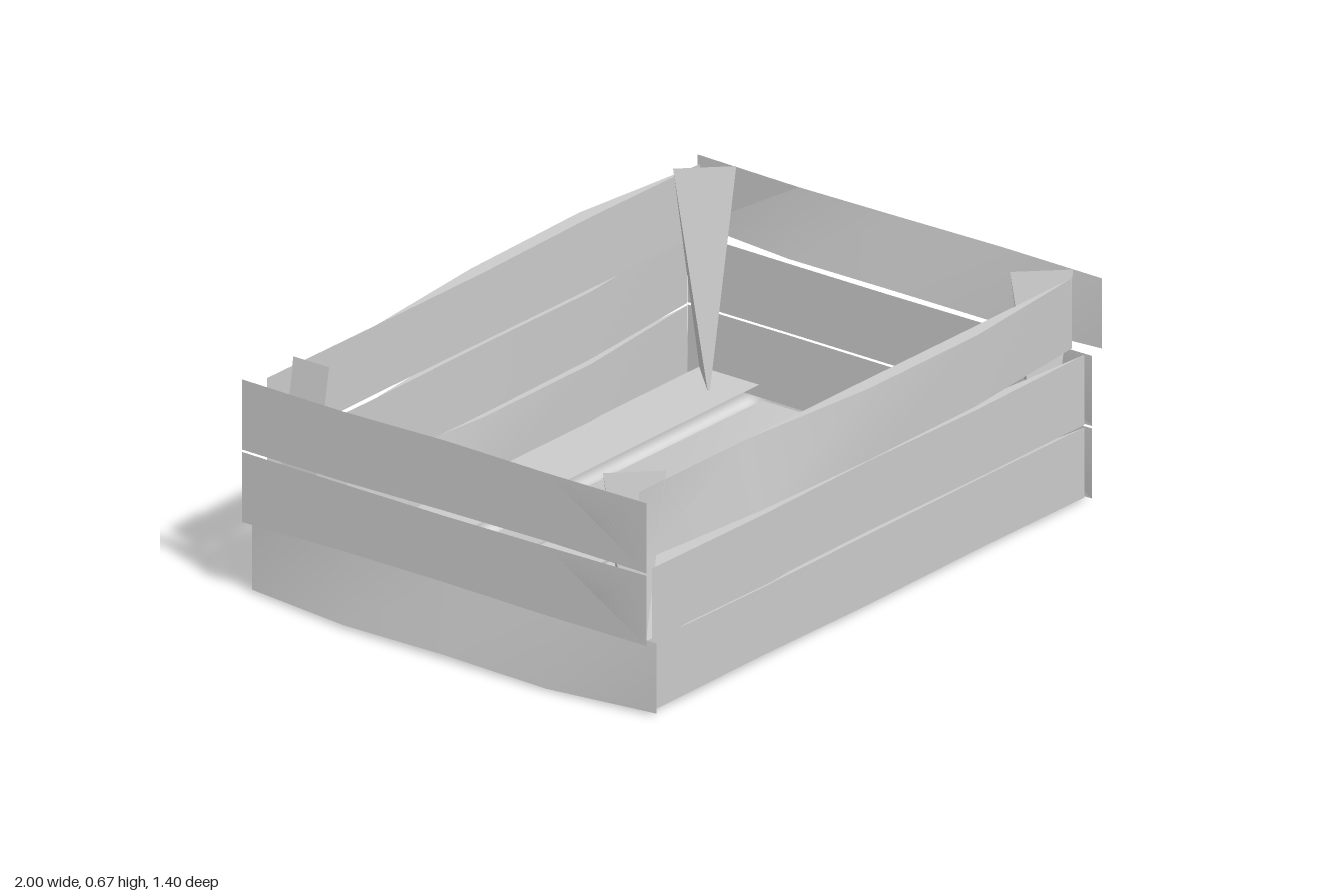
import * as THREE from 'three';
import { ConvexGeometry } from 'three/addons/geometries/ConvexGeometry.js';

const T = 0.044; // board thickness

export function createModel() {
  const group = new THREE.Group();
  const mat = new THREE.MeshStandardMaterial({ color: 0xcccccc, side: THREE.DoubleSide });
  let seed = 7;
  const rand = () => (seed = (seed * 16807) % 2147483647) / 2147483647;

  // Rough-cut board in four spans: each end is pinched to one face (1 = outer +z,
  // -1 = inner), the upper edge is worn sharp at the stations listed in sharp,
  // and the long edges are slightly uneven.
  function board(name, length, height, startSide, endSide, sharp) {
    const geo = new THREE.BoxGeometry(length, height, T, 4, 1, 1);
    const p = geo.attributes.position;
    const wobble = Array.from({ length: 10 }, () => (rand() - 0.6) * 0.01);
    for (let i = 0; i < p.count; i++) {
      const station = Math.round((p.getX(i) / length + 0.5) * 4);
      const up = p.getY(i) > 0 ? 1 : 0;
      const side = station < 2 ? startSide : endSide;
      if (station % 4 === 0 || (up && sharp.includes(station))) p.setZ(i, side * T / 2);
      if (station % 4) p.setY(i, p.getY(i) + (up ? 1 : -1) * wobble[station * 2 + up]);
    }
    geo.computeVertexNormals();
    const mesh = new THREE.Mesh(geo, mat);
    mesh.name = name;
    group.add(mesh);
    return mesh;
  }

  // Walls of three boards; the pinch sides of both ends are listed from the bottom row up
  const walls = [
    ['frontBoard', 1.9, 0, 0, 0.657, [1], [[1, 1], [1, 1], [-1, -1]]],
    ['backBoard', 1.9, Math.PI, 0, -0.674, [3], [[1, 1], [1, -1], [-1, -1]]],
    ['leftBoard', 1.4, Math.PI / 2, 0.978, 0, [1, 2, 3], [[-1, -1], [-1, -1], [1, 1]]],
    ['rightBoard', 1.4, -Math.PI / 2, -0.978, 0, [1, 2, 3], [[-1, -1], [1, 1], [1, 1]]],
  ];
  for (const [name, length, turn, x, z, sharp, rows] of walls) {
    rows.forEach(([start, end], row) => {
      const b = board(name, length, 0.207, start, end, sharp);
      b.rotation.y = turn;
      b.position.set(x, 0.112 + row * 0.214, z);
    });
  }

  // Floor boards, outer face down; the two at the back meet with sharp edges
  for (let i = 0; i < 6; i++) {
    const side = i % 2 ? 1 : -1;
    const b = board('floorBoard', 1.91, 0.206, side, side, i < 2 ? [1, 2, 3] : []);
    b.rotation.set(Math.PI / 2, 0, i % 2 ? Math.PI : 0);
    b.position.set(0, T / 2, -0.554 + i * 0.217);
  }

  // Corner posts: tapered wedges narrowing to a single top edge
  const a = 0.06, c = 0.062, low = 0.02, high = 0.668;
  const post = (x, z, corners) => {
    const points = corners.map(([sx, y, sz]) => new THREE.Vector3(sx * a, y, sz * c));
    const mesh = new THREE.Mesh(new ConvexGeometry(points), mat);
    mesh.name = 'cornerPost';
    mesh.position.set(x, 0, z);
    group.add(mesh);
  };
  const twisted = [[-1, high, -1], [1, high, 1], [-1, low, 1], [1, low, -1]];
  const leaning = [[1, high, -1], [1, high, 1], [-1, low, -1], [-1, low, 1], [1, low, -1]];
  post(-0.893, 0.574, twisted);
  post(0.895, 0.574, twisted);
  post(0.895, -0.592, twisted);
  post(-0.893, -0.592, leaning);
  return group;
}
